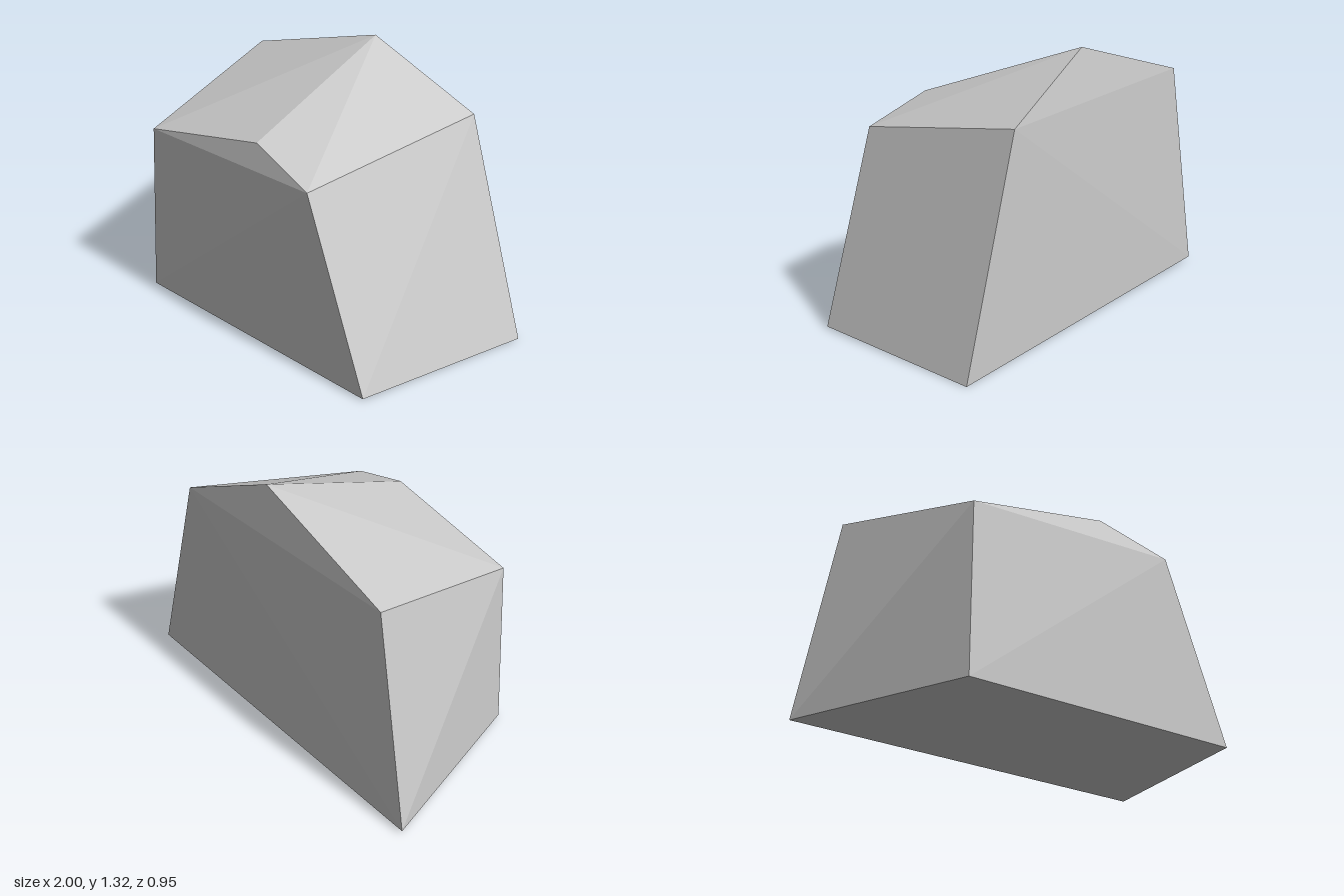
import * as THREE from 'three';
import { ConvexGeometry } from 'three/addons/geometries/ConvexGeometry.js';

// Five-sided end outlines: base left, base right, right shoulder, peak, left shoulder
const frontOutline = [
  [-0.64, 0.018, 0.46], [0.857, 0.012, 0.465], [0.505, 0.915, 0.475],
  [0.13, 1.028, 0.432], [-0.62, 0.882, 0.443],
];
const backOutline = [
  [-1, 0.018, -0.465], [1, 0.003, -0.47], [0.65, 1.07, -0.475],
  [0.05, 1.328, -0.428], [-0.8, 1.088, -0.445],
];

export function createModel() {
  const group = new THREE.Group();
  group.name = 'boulder';

  const stone = new THREE.MeshStandardMaterial({ color: 0xcccccc });
  stone.name = 'pale grey stone';

  // Faceted block spanning the two outlines
  const corners = [...frontOutline, ...backOutline].map((p) => new THREE.Vector3(...p));
  const rock = new THREE.Mesh(new ConvexGeometry(corners), stone);
  rock.name = 'rock';
  group.add(rock);

  return group;
}
